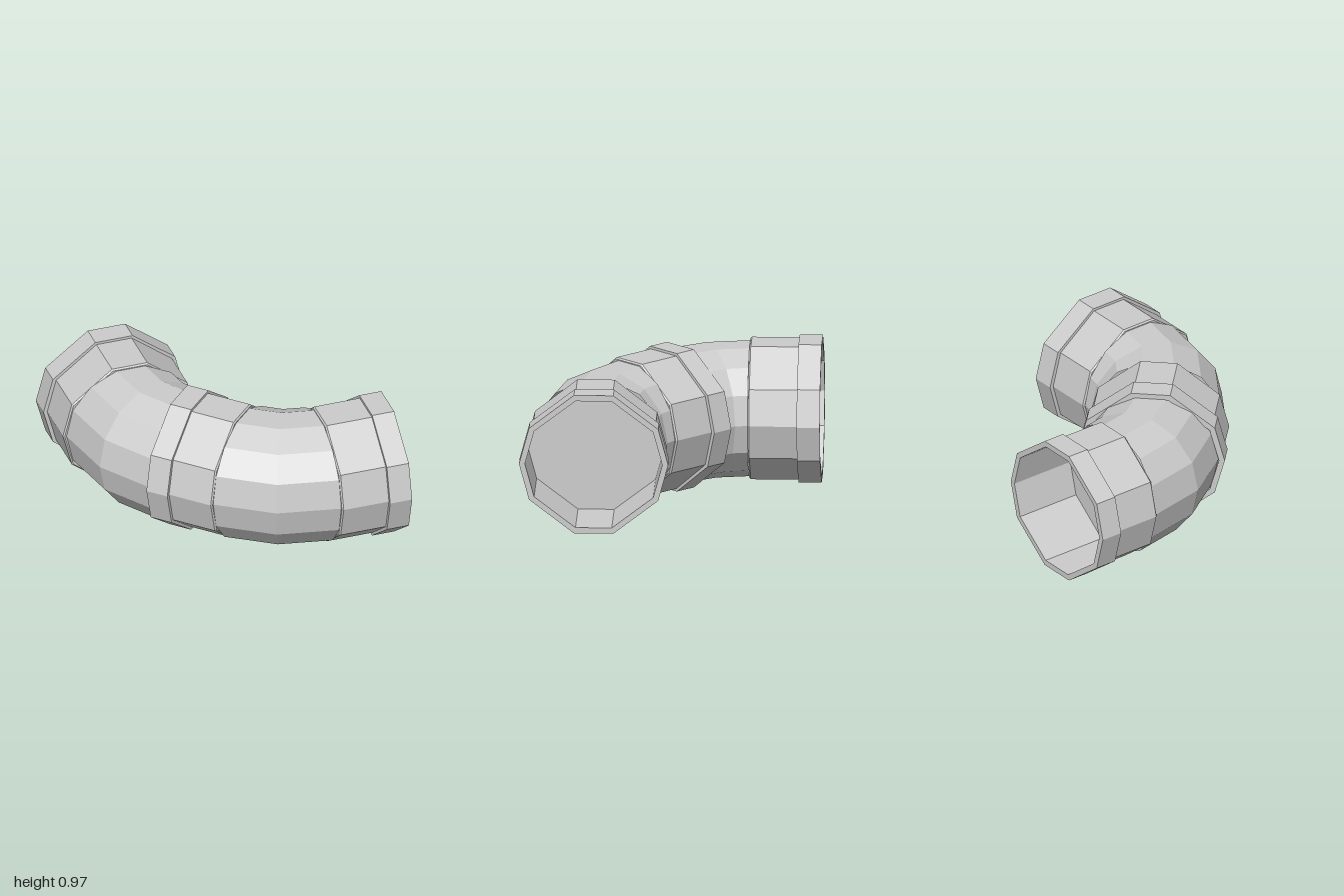
import * as THREE from 'three';

const material = new THREE.MeshStandardMaterial({ color: 0xcccccc, flatShading: true, side: THREE.DoubleSide });
const AXIS_Y = 0.486;

// Ten-sided section with wide shoulders and a flat top and bottom
function section(rx, ry) {
  const q = [[1, 0], [0.866, 0.495], [0.264, 0.957]];
  const half = [...q, [-q[2][0], q[2][1]], [-q[1][0], q[1][1]]];
  return [...half, ...half.map(([x, y]) => [-x, -y])].map(([x, y]) => [x * rx, y * ry]);
}

// Socket: closed at z = 0, open at z = length, as rings of [z, rx, ry]
function socketGeometry(length) {
  const step = length - 0.157;
  const rings = [
    [0, 0, 0], [0, 0.468, 0.475], [0.01, 0.478, 0.486], [step, 0.478, 0.486],
    [step, 0.505, 0.505], [length, 0.505, 0.505],
    [length, 0.465, 0.463], [0.01, 0.465, 0.463], [0.01, 0, 0],
  ];
  const position = [], index = [], n = 10;
  rings.forEach(([z, rx, ry]) => section(rx, ry).forEach(([x, y]) => position.push(x, y, z)));
  for (let r = 0; r < rings.length - 1; r++) {
    for (let i = 0; i < n; i++) {
      const a = r * n + i, b = r * n + (i + 1) % n;
      if (r > 0) index.push(a, b, a + n);
      if (r < rings.length - 2) index.push(b, b + n, a + n);
    }
  }
  // Fan of the closed end
  for (let i = 0; i < n; i++) index.push(i, n + (i + 1) % n, n + i);
  const geometry = new THREE.BufferGeometry();
  geometry.setAttribute('position', new THREE.Float32BufferAttribute(position, 3));
  geometry.setIndex(index);
  const flat = geometry.toNonIndexed();
  flat.computeVertexNormals();
  return flat;
}

export function createModel() {
  const group = new THREE.Group();
  const add = (name, geometry, x, z, turn = 0) => {
    const mesh = new THREE.Mesh(geometry, material);
    mesh.name = name;
    mesh.position.set(x, AXIS_Y, z);
    mesh.rotation.y = turn;
    group.add(mesh);
  };

  // Two 45 degree bends, each in two straight facets
  const bend = (start) =>
    new THREE.TorusGeometry(0.675, 0.46, 14, 2, Math.PI / 4).rotateZ(start).rotateX(Math.PI / 2);
  add('frontBend', bend(Math.PI / 2), 0.51, -0.185);
  add('backBend', bend(Math.PI * 0.75), 0.185, -0.51);

  // Sockets at both open ends and at the joint between the bends
  add('leftSocket', socketGeometry(0.49), 0.51, 0.495, Math.PI / 2);
  add('backSocket', socketGeometry(0.49), -0.495, -0.51, Math.PI);
  add('middleSocket', socketGeometry(0.48), 0.033, 0.293, -Math.PI * 0.75);
  return group;
}
